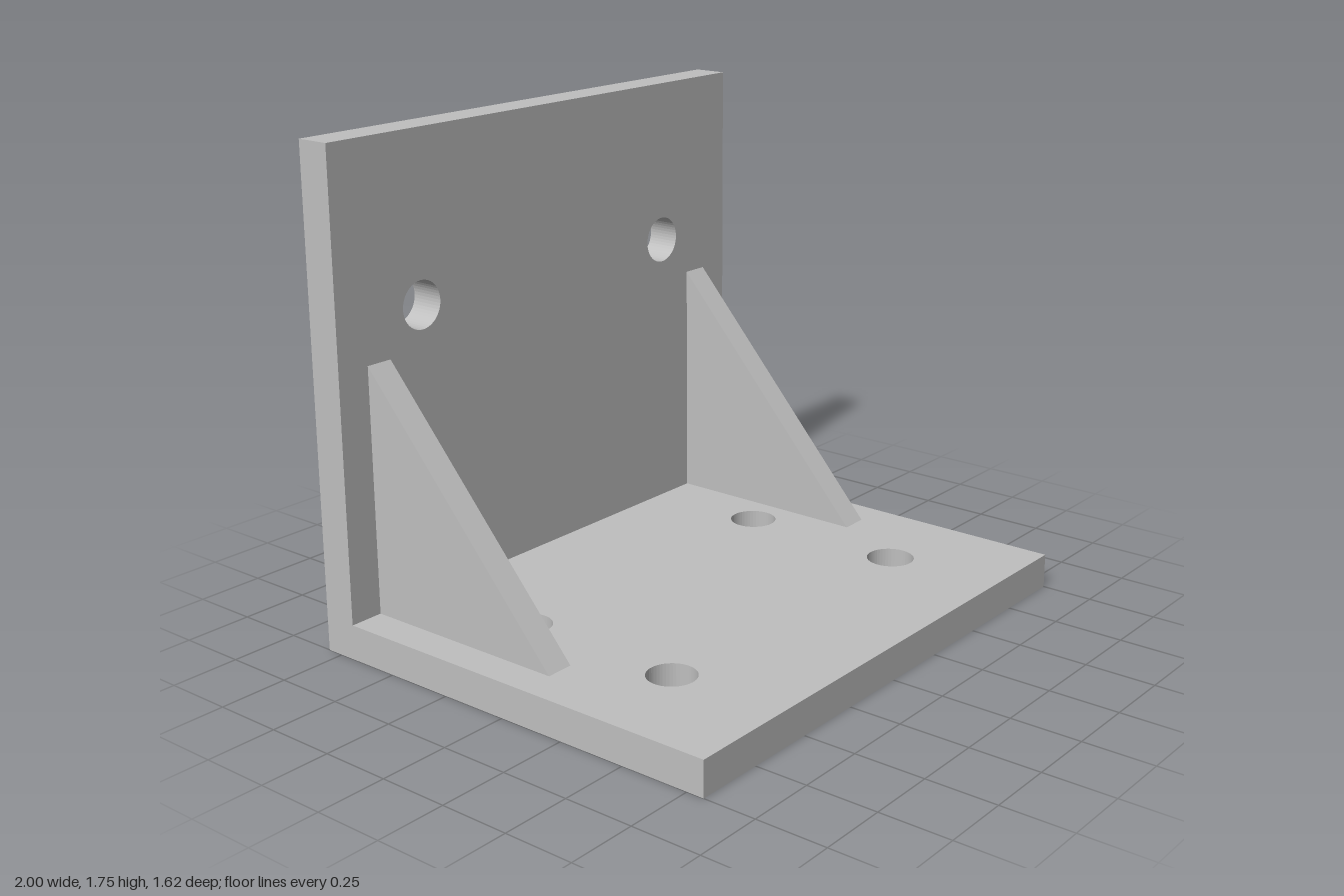
import * as THREE from 'three';

const WIDTH = 2, HEIGHT = 1.75, HALF_DEPTH = 0.8125, THICK = 0.125;
const HOLE_RADIUS = 0.085, HOLE_X = 0.625;
const INNER_Z = -HALF_DEPTH + THICK; // front face of the back plate

// Rectangular plate in XY with round holes, extruded along +z
function plateGeometry(y0, y1, holeRows) {
  const w = WIDTH / 2;
  const shape = new THREE.Shape([[-w, y0], [w, y0], [w, y1], [-w, y1]].map(p => new THREE.Vector2(...p)));
  for (const y of holeRows) {
    for (const side of [-1, 1]) {
      const hole = new THREE.Path();
      hole.absarc(side * HOLE_X, y, HOLE_RADIUS, 0, Math.PI * 2, true);
      shape.holes.push(hole);
    }
  }
  return new THREE.ExtrudeGeometry(shape, { depth: THICK, bevelEnabled: false, curveSegments: 24 });
}

export function createModel() {
  const group = new THREE.Group();
  group.name = 'angleBracket';
  const metal = new THREE.MeshStandardMaterial({ color: 0xbfbfbf });
  metal.name = 'greyMetal';

  const add = (name, geometry) => {
    const mesh = new THREE.Mesh(geometry, metal);
    mesh.name = name;
    group.add(mesh);
  };

  // Upright plate with two bolt holes
  add('backPlate', plateGeometry(0, HEIGHT, [1.155]).translate(0, 0, -HALF_DEPTH));

  // Floor plate with four bolt holes, laid flat (shape y becomes -z)
  add('basePlate', plateGeometry(-HALF_DEPTH, -INNER_Z, [0.24, -0.385]).rotateX(-Math.PI / 2));

  // Triangular gussets joining the two plates
  const gussetWidth = 0.1;
  const profile = new THREE.Shape([
    new THREE.Vector2(INNER_Z, THICK),
    new THREE.Vector2(0.09, THICK),
    new THREE.Vector2(INNER_Z, 1),
  ]);
  for (const [name, x] of [['leftGusset', 0.825], ['rightGusset', -0.825]]) {
    const geometry = new THREE.ExtrudeGeometry(profile, { depth: gussetWidth, bevelEnabled: false });
    add(name, geometry.rotateY(-Math.PI / 2).translate(x + gussetWidth / 2, 0, 0));
  }

  return group;
}
